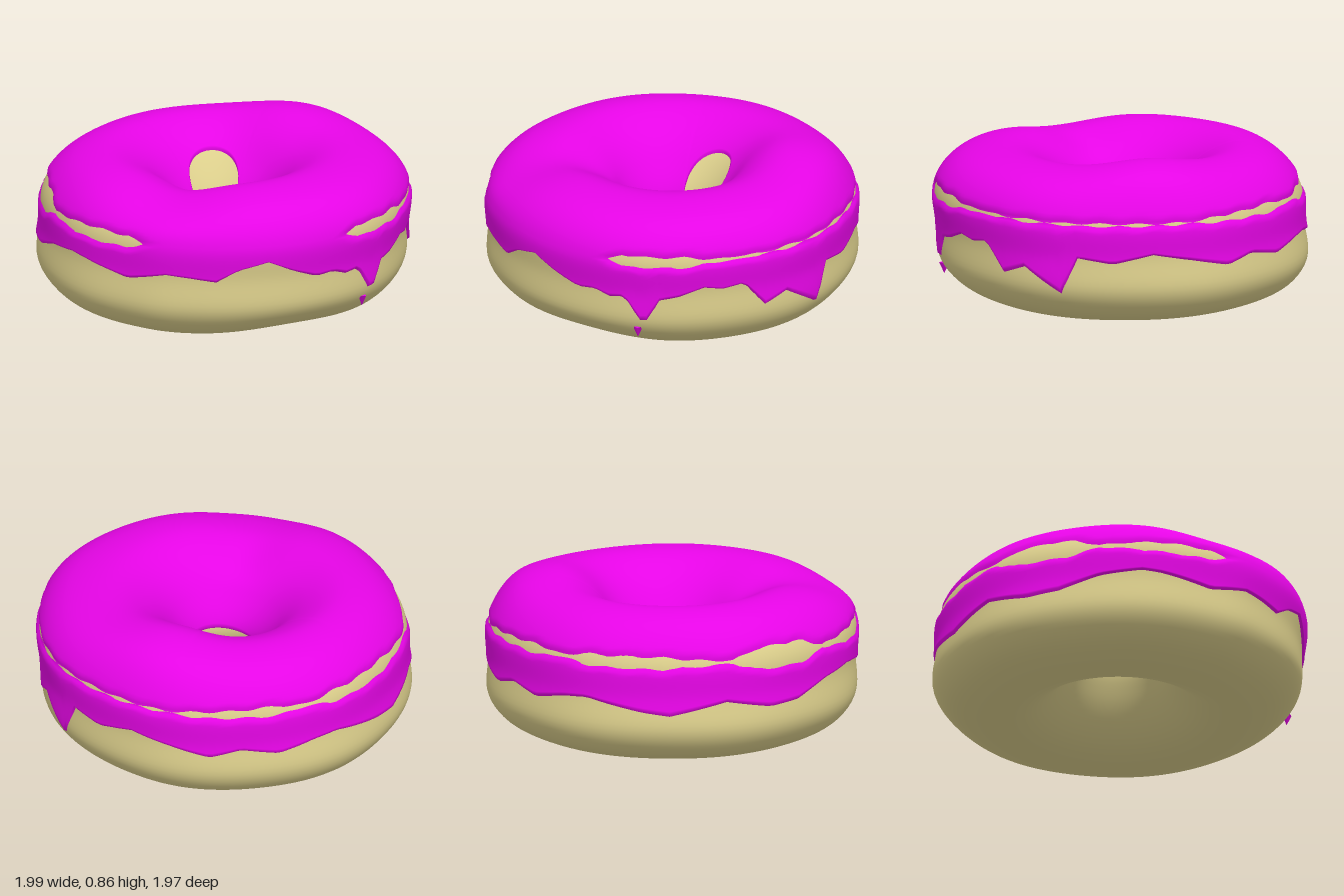
import * as THREE from 'three';

const RAD = Math.PI / 180;
const SEGS = 180;
const clamp = THREE.MathUtils.clamp;

// Ring cross-section (radius, height): bottom, outside, top, then down the hole
const section = new THREE.CatmullRomCurve3([
  [0.63, 0], [0.83, 0.055], [0.925, 0.13], [0.973, 0.22], [0.966, 0.4], [0.968, 0.57], [0.912, 0.68],
  [0.80, 0.763], [0.6, 0.797], [0.43, 0.73], [0.295, 0.6], [0.20, 0.42], [0.245, 0.27], [0.35, 0.125], [0.475, 0.035],
].map(([r, y]) => new THREE.Vector3(r, y, 0)), true);
const N = 600;
const samples = section.getSpacedPoints(N);

// Section parameter at a height on the outer or the hole side
function outerAt(y) {
  let i = 0;
  while (samples[i].y < y) i++;
  return i - (samples[i].y - y) / Math.max(1e-6, samples[i].y - samples[i - 1].y);
}
function innerAt(y) {
  let i = N;
  while (samples[i].y < y) i--;
  return i + (samples[i].y - y) / Math.max(1e-6, samples[i].y - samples[i + 1].y);
}

// Linear lookup in a table of [degrees, value], wrapping round the ring
function lookup(table, deg) {
  const n = table.length;
  for (let i = 0; i < n; i++) {
    const [a, va] = table[i];
    const [b0, vb] = table[(i + 1) % n];
    const b = i === n - 1 ? b0 + 360 : b0;
    for (const d of [deg, deg + 360]) if (d >= a && d <= b) return va + (vb - va) * (d - a) / (b - a);
  }
  return table[0][1];
}
const angleGap = (a, b) => ((a - b + 540) % 360) - 180;
const hump = (deg, centre, width) => Math.exp(-((angleGap(deg, centre) / width) ** 2));

// Point on the uneven ring, pushed off the surface by offset
function ringPoint(u, deg, offset) {
  const i = clamp(Math.floor(u), 0, N - 1);
  const p = samples[i].clone().lerp(samples[i + 1], u - i);
  const t = samples[(i + 2) % N].clone().sub(samples[(i - 1 + N) % N]).normalize();
  let r = p.x + t.y * offset;
  let y = p.y - t.x * offset;
  const top = THREE.MathUtils.smoothstep(p.y, 0.6, 0.8);
  const low = 1 - THREE.MathUtils.smoothstep(p.y, 0, 0.3);
  const out = THREE.MathUtils.smoothstep(p.x, 0.5, 0.95);
  y += top * (0.05 * hump(deg, -90, 26) - 0.05 * hump(deg, 76, 22)) + low * 0.03 * hump(deg, 25, 26);
  r += out * (0.005 * Math.cos(deg * RAD * 7) - 0.012 * hump(deg, 48, 18) + 0.012 * hump(deg, 75, 10));
  const shift = out * 0.08 * (p.y - 0.45) - (1 - out) * 0.018;
  return [r * Math.cos(deg * RAD) + shift, y, r * Math.sin(deg * RAD)];
}

// Skin swept round the ring; point(row, degrees) gives each vertex
function sweep(rows, closed, point) {
  const pos = [], index = [];
  const cols = closed ? rows : rows - 1;
  for (let j = 0; j < SEGS; j++) {
    for (let i = 0; i < rows; i++) pos.push(...point(i, -180 + j * 360 / SEGS));
    for (let i = 0; i < cols; i++) {
      const k = (i + 1) % rows, n = (j + 1) % SEGS;
      const a = j * rows + i, b = j * rows + k, c = n * rows + k, d = n * rows + i;
      index.push(a, b, d, b, c, d);
    }
  }
  const g = new THREE.BufferGeometry();
  g.setAttribute('position', new THREE.Float32BufferAttribute(pos, 3));
  g.setIndex(index);
  g.computeVertexNormals();
  return g;
}

// Height of the dripping outer edge of the icing
const outerLip = [
  [-173, 0.32], [-155, 0.38], [-147, 0.37], [-135, 0.33], [-123, 0.37], [-113, 0.33], [-100, 0.38], [-88, 0.42],
  [-75, 0.37], [-64, 0.40], [-58, 0.20], [-46, 0.33], [-38, 0.28], [-31, 0.43], [-24, 0.41], [-18, 0.43],
  [-10, 0.38], [-4, 0.36], [1, 0.21], [7, 0.37], [12, 0.36], [17, 0.39], [23, 0.38], [31, 0.43], [40, 0.50],
  [49, 0.46], [56, 0.39], [65, 0.41], [72, 0.42], [85, 0.37], [102, 0.42], [108, 0.43], [121, 0.40],
  [134, 0.33], [145, 0.32], [160, 0.37], [178, 0.30],
];
// Half height of the bare strip where dough shows through (negative: covered)
const bareStrip = [
  [-180, 0.03], [-165, 0.03], [-155, 0.028], [-145, 0.005], [-135, 0.025], [-125, 0.02], [-110, 0.014],
  [-100, 0.004], [-85, 0.006], [-70, 0.008], [-58, 0.004], [-45, 0.009], [-38, 0.002], [-30, 0.012],
  [-25, 0.005], [-18, 0.015], [-12, 0.028], [0, 0.027], [8, 0.03], [12, 0], [16, -0.03], [74, -0.03],
  [80, 0], [86, 0.03], [100, 0.032], [115, 0.02], [122, 0.005], [130, 0.05], [140, 0.06], [150, 0.05],
  [158, 0.008], [168, 0.015],
];

// Edge of the icing inside the hole, with one arched bare patch
function innerLip(deg) {
  const d = angleGap(deg, -137) / 34;
  const arch = Math.abs(d) < 1 ? 0.24 * (1 - d * d) ** 0.4 : 0;
  return 0.43 - 0.05 * hump(deg, 125, 60) + arch;
}

function icingPoint(row, deg, lowRows, rows) {
  const stripY = 0.585 - 0.012 * hump(deg, 100, 35);
  const start = outerAt(lookup(outerLip, deg));
  const mid = outerAt(stripY);
  const end = innerAt(innerLip(deg));
  const u = row <= lowRows
    ? start + (mid - start) * row / lowRows
    : mid + (end - mid) * (row - lowRows) / (rows - 1 - lowRows);
  const p = samples[Math.round(u)];
  let offset = 0.013;
  if (p.x > 0.7) {
    const bare = lookup(bareStrip, deg) + 0.005 * Math.cos(30 * deg * RAD);
    offset *= clamp((Math.abs(p.y - stripY) - bare) / 0.025, -1, 1);
  }
  // lips tuck into the dough
  if (row === 0 || row === rows - 1) offset = -0.006;
  return ringPoint(u, deg, offset);
}

export function createModel() {
  const group = new THREE.Group();
  const doughMat = new THREE.MeshStandardMaterial({ color: 0xdccf8c });
  const icingMat = new THREE.MeshStandardMaterial({ color: 0xe605e6, side: THREE.DoubleSide });
  const add = (name, geometry, material) => {
    const mesh = new THREE.Mesh(geometry, material);
    mesh.name = name;
    group.add(mesh);
    return mesh;
  };

  // Dough ring
  const doughRows = 90;
  add('dough', sweep(doughRows, true, (i, deg) => ringPoint(i * N / doughRows, deg, 0)), doughMat);

  // Icing coat with drips
  const lowRows = 18, rows = 82;
  add('icing', sweep(rows, false, (i, deg) => icingPoint(i, deg, lowRows, rows)), icingMat);

  // Loose drop below the longest drip
  const drop = add('icingDrop', new THREE.ConeGeometry(0.028, 0.06, 4), icingMat);
  drop.position.set(0.938, 0.168, 0.05);
  drop.rotation.x = Math.PI;

  return group;
}
